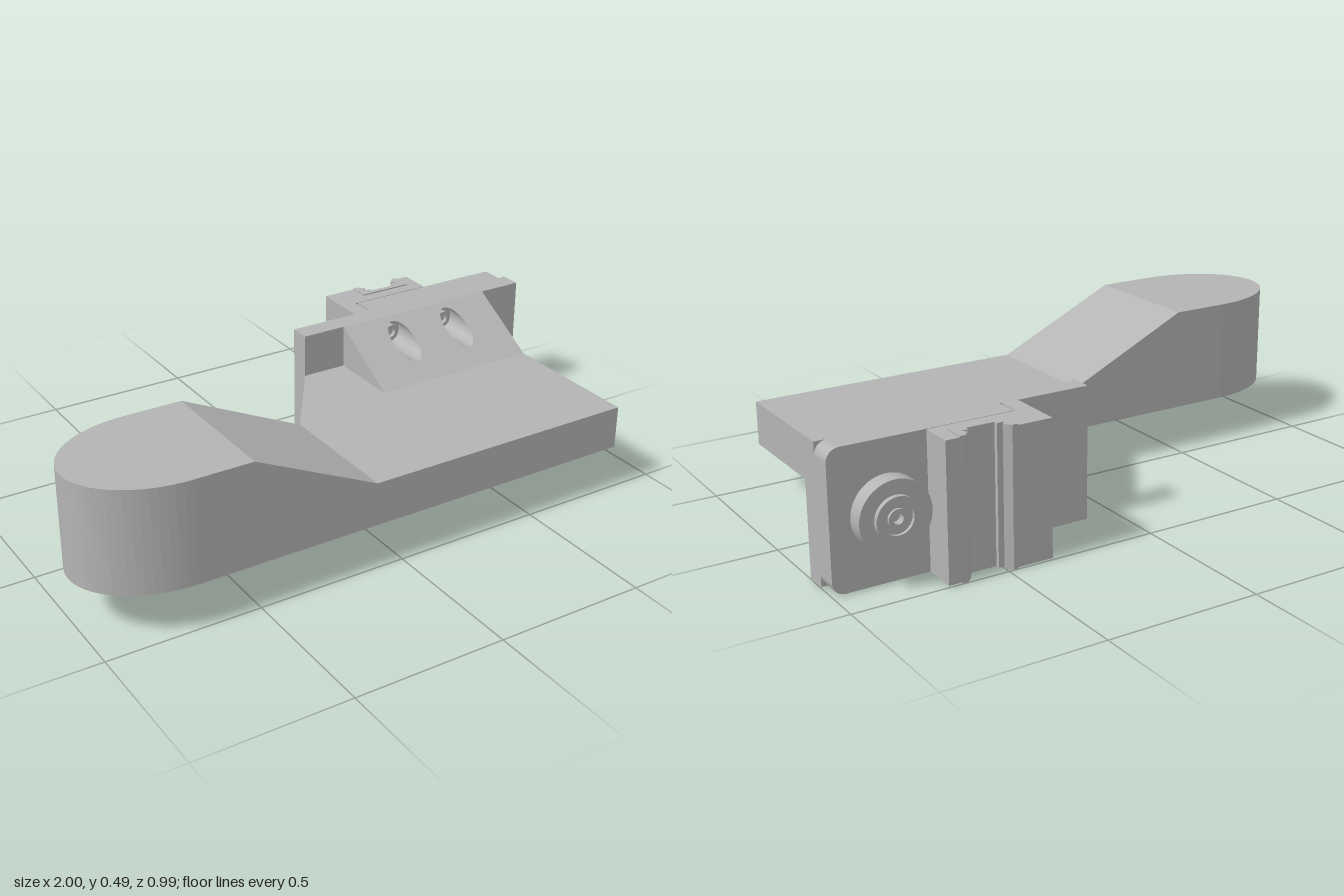
import * as THREE from 'three';
import { toCreasedNormals } from 'three/addons/utils/BufferGeometryUtils.js';

const V = (x, y) => new THREE.Vector2(x, y);

// Upright slab from a plan outline of [x, z] points
function slab(points, y0, y1) {
  const shape = new THREE.Shape(points.map(([x, z]) => V(x, -z)));
  return new THREE.ExtrudeGeometry(shape, { depth: y1 - y0, bevelEnabled: false })
    .rotateX(-Math.PI / 2).translate(0, y0, 0);
}

// Turned part whose axis points to the front (dir 1) or the back (dir -1)
function turned(profile, dir) {
  const g = new THREE.LatheGeometry(profile.map(([r, h]) => V(r, h)), 48);
  return toCreasedNormals(g.rotateX(dir * Math.PI / 2), 0.5);
}

export function createModel() {
  const model = new THREE.Group();
  const grey = new THREE.MeshStandardMaterial({ color: 0xb4b4b4, side: THREE.DoubleSide });
  grey.name = 'grey';
  const add = (name, geometry, parent = model) => {
    const mesh = new THREE.Mesh(geometry, grey);
    mesh.name = name;
    parent.add(mesh);
    return mesh;
  };

  const front = 0.497, back = 0.055, low = 0.15, deckTop = 0.295, padTop = 0.49;

  // Raised pad with a rounded end
  const pad = [[-0.51, back], [-0.51, front]];
  for (let i = 0; i <= 36; i++) {
    const a = Math.PI * i / 36;
    pad.push([-0.7 - 0.3 * Math.sin(a), (front + back) / 2 + (front - back) / 2 * Math.cos(a)]);
  }
  add('raisedPad', slab(pad, low, padTop));

  // Ramp: lower the top corners at its inner end
  const ramp = slab([[-0.51, back], [-0.51, front], [-0.095, front], [-0.095, back]], low, padTop);
  const rp = ramp.attributes.position;
  for (let i = 0; i < rp.count; i++) {
    if (rp.getX(i) > -0.3 && rp.getY(i) > 0.3) rp.setY(i, deckTop);
  }
  ramp.computeVertexNormals();
  add('ramp', ramp);

  // Flat deck
  add('deck', slab([[-0.095, front], [0.845, front], [0.845, -0.24], [0.105, -0.24], [-0.095, back]],
    low, deckTop));

  // Gussets above and below the deck, with two screw bores each
  const run = 0.25, rise = 0.145, zNear = 0.01, yNear = 0.0725, half = 0.293, bore = 0.045;
  const len = Math.hypot(run, rise);
  const makeGusset = (name, turn) => {
    const g = new THREE.Group();
    g.name = name;
    g.position.set(0.552, 0.2225, 0);
    g.rotation.z = turn;
    model.add(g);

    const face = new THREE.Shape([V(-half, 0), V(half, 0), V(half, len), V(-half, len)]);
    for (const x of [-0.11, 0.11]) {
      const s = len * 0.6, yc = yNear + rise * 0.6;
      const hole = new THREE.Path();
      hole.absellipse(x, s, bore, bore * len / rise, 0, Math.PI * 2, true, 0);
      face.holes.push(hole);

      // Bore wall, its mouth trimmed to the slope
      const wall = new THREE.CylinderGeometry(bore, bore, 1, 40, 1, true)
        .rotateX(Math.PI / 2).translate(x, yc, 0);
      const p = wall.attributes.position;
      for (let i = 0; i < p.count; i++) {
        p.setZ(i, p.getZ(i) > 0 ? zNear - (p.getY(i) - yNear) * run / rise : -0.24);
      }
      add('screwBore', wall, g);
      add('screwHead', turned([[0.028, 0], [0.028, 0.02], [0.015, 0.02], [0.015, 0.005], [0, 0.005]], 1)
        .translate(x, yc, -0.24), g);
    }
    add('slopedFace', new THREE.ShapeGeometry(face, 24)
      .rotateX(-Math.atan2(run, rise)).translate(0, yNear, zNear), g);

    const side = new THREE.Shape([V(-zNear, yNear), V(run - zNear, yNear), V(run - zNear, yNear + rise)]);
    for (const s of [-1, 1]) {
      add('gussetSide', new THREE.ShapeGeometry(side).rotateY(Math.PI / 2).translate(s * half, 0, 0), g);
    }
  };
  makeGusset('upperGusset', 0);
  makeGusset('lowerGusset', Math.PI);

  // Mounting plate
  const y0 = 0.005, y1 = 0.44;
  add('mountingPlate', new THREE.BoxGeometry(0.895, y1 - y0, 0.07)
    .translate(0.5525, (y0 + y1) / 2, -0.275));

  // Thick carrier behind it, outer corners rounded
  const r = 0.04;
  const carrier = new THREE.Shape();
  carrier.moveTo(0.413, y0);
  carrier.lineTo(1 - r, y0);
  carrier.absarc(1 - r, y0 + r, r, -Math.PI / 2, 0, false);
  carrier.absarc(1 - r, y1 - r, r, 0, Math.PI / 2, false);
  carrier.lineTo(0.413, y1);
  add('carrier', new THREE.ExtrudeGeometry(carrier, { depth: 0.075, bevelEnabled: false, curveSegments: 10 })
    .translate(0, 0, -0.385));

  // Clamp block with a pocket, hooked round the carrier
  add('clampBlock', slab([[0.35, -0.31], [0.35, -0.497], [0.465, -0.497], [0.465, -0.43], [0.65, -0.43],
    [0.65, -0.497], [0.695, -0.497], [0.695, -0.388], [0.405, -0.388], [0.405, -0.31]], y0, y1));

  // Grooved insert filling the pocket
  const lip = [[0.465, -0.43], [0.465, -0.497], [0.482, -0.497], [0.502, -0.477], [0.488, -0.462],
    [0.512, -0.462], [0.512, -0.448]];
  const mirrored = lip.map(([x, z]) => [1.115 - x, z]).reverse();
  add('groovedInsert', slab([...lip, ...mirrored], 0.001, 0.444));

  // Round knob with hub and socket
  add('knob', turned([[0.113, 0], [0.113, 0.055], [0.068, 0.055], [0.068, 0.071], [0.048, 0.071],
    [0.048, 0.06], [0.03, 0.06], [0.03, 0.069], [0.016, 0.069], [0.016, 0.045], [0, 0.045]], -1)
    .translate(0.823, 0.2225, -0.385));

  return model;
}
